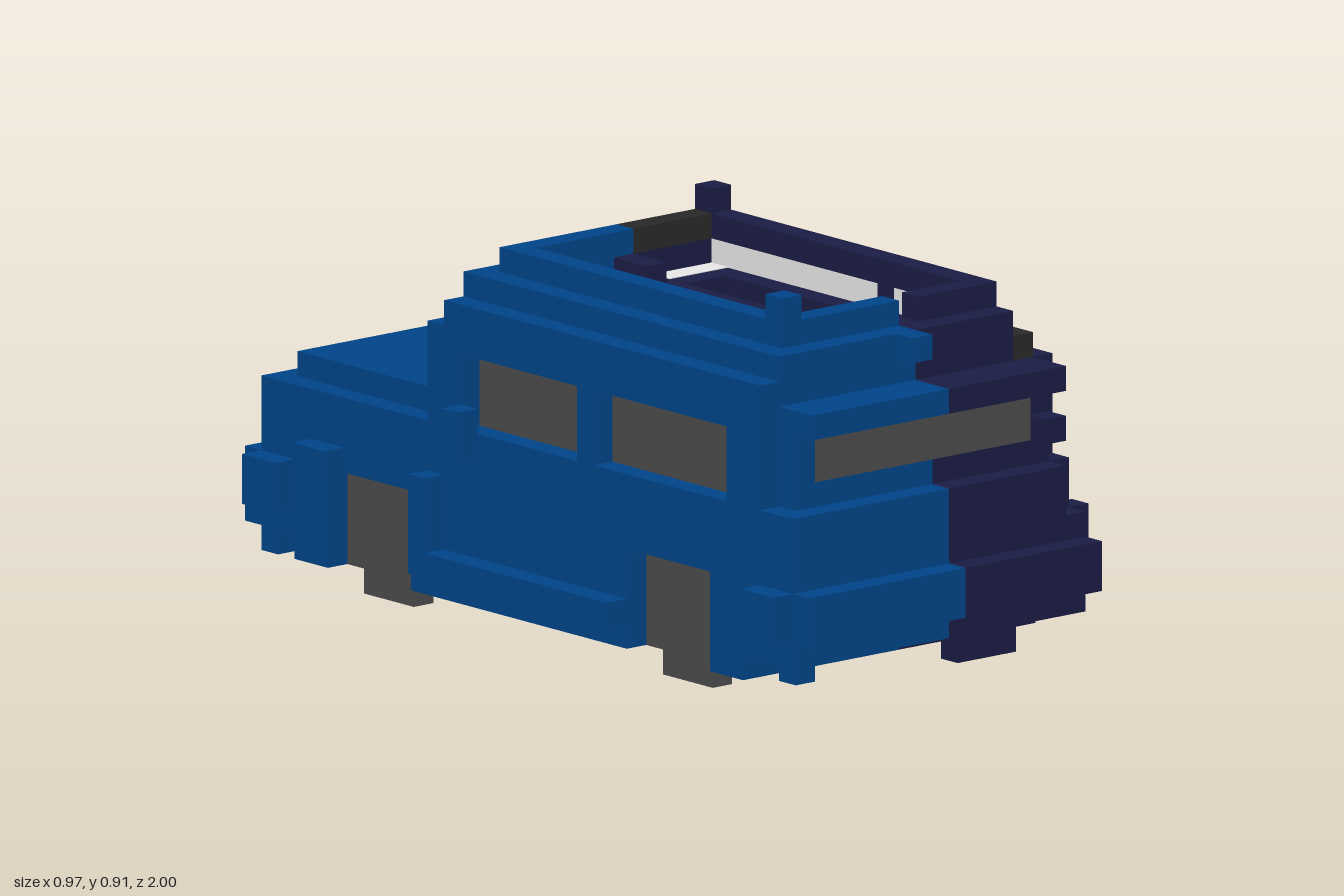
import * as THREE from 'three';

const U = 2 / 35; // one cell; cells run i: 0..17 (x), j: 0..16 (y), k: 0..35 (z)
const mat = (name, color) => {
  const m = new THREE.MeshStandardMaterial({ color });
  m.name = name;
  return m;
};

export function createModel() {
  const model = new THREE.Group();
  const blue = mat('blue', 0x004488), navy = mat('navy', 0x1b1c44);
  const glass = mat('glass grey', 0x4b4b4b), black = mat('charcoal', 0x282828);
  const light = mat('light grey', 0xe8e8e8);

  // Block between cell limits
  const box = (name, m, i0, i1, j0, j1, k0, k1) => {
    const mesh = new THREE.Mesh(new THREE.BoxGeometry((i1 - i0) * U, (j1 - j0) * U, (k1 - k0) * U), m);
    mesh.position.set(((i0 + i1) / 2 - 8.5) * U, (j0 + j1) / 2 * U, (k0 + k1) / 2 * U - 1);
    mesh.name = name;
    model.add(mesh);
  };
  // Block that changes colour at the centre line
  const split = (name, i0, i1, ...r) => {
    if (i0 < 9) box(name, blue, i0, Math.min(i1, 9), ...r);
    if (i1 > 9) box(name, navy, Math.max(i0, 9), i1, ...r);
  };
  const bothSides = (name, i0, i1, ...r) => {
    split(name, i0, i1, ...r);
    split(name, 17 - i1, 17 - i0, ...r);
  };

  // Lower body, cut for the wheel arches
  for (const [j0, j1, k0, k1] of [[1, 2, 4, 31], [2, 3, 1, 34], [3, 5, 1, 35]]) {
    split('lowerBody', 3, 14, j0, j1, k0, k1);
    for (const [a, b] of [[k0, 6], [11, 24], [29, k1]]) bothSides('lowerSide', 1, 3, j0, j1, a, b);
  }
  split('waist', 1, 16, 5, 6, 2, 34);
  split('waist', 1, 15, 6, 8, 2, 34);
  box('waistCorner', navy, 15, 16, 6, 8, 2, 33);
  split('hood', 2, 15, 8, 9, 3, 12);

  // Wheels
  for (const k of [6, 24]) {
    for (const i of [2, 14]) {
      box('wheel', glass, i, i + 1, 1, 5, k, k + 5);
      box('wheelFoot', glass, i, i + 1, 0, 1, k + 1, k + 4);
    }
  }

  // Cabin, with openings for the windshield and the side windows
  split('cabin', 2, 15, 8, 11, 13, 33);
  split('windshieldSill', 2, 15, 8, 9, 12, 13);
  bothSides('windshieldPillar', 2, 3, 9, 11, 12, 13);
  split('cabinTop', 2, 15, 11, 12, 12, 34);
  bothSides('sideRail', 1, 2, 11, 12, 12, 32);
  for (const [a, b] of [[12, 14], [21, 22], [30, 32]]) bothSides('sidePillar', 1, 2, 8, 11, a, b);

  // Windows
  const t = 0.03;
  for (const [k0, k1] of [[14, 21], [22, 30]]) {
    box('leftWindow', glass, 15, 15 + t, 8, 11, k0, k1);
    box('rightWindow', glass, 2 - t, 2, 8, 11, k0, k1);
  }
  box('rearWindow', glass, 3, 14, 9, 11, 33, 33 + t);
  box('windshield', glass, 3, 14, 9, 11, 13 - t, 13);

  // Roof floor with two sunken light panels
  for (const [a, b] of [[1, 5], [8, 10], [12, 14]]) split('roofFloor', a, b, 12, 13, 13, 32);
  for (const [a, b] of [[5, 8], [10, 12]]) {
    split('roofFloorFront', a, b, 12, 13, 13, 17);
    split('roofFloorRear', a, b, 12, 13, 29, 32);
    box('roofPanel', light, a, b, 12, 12 + t, 17, 29);
  }
  box('roofStrip', black, 14, 15, 12, 13, 13, 32);

  // Roof wall with a light lining
  box('roofWallRight', blue, 2, 3, 13, 14, 13, 32);
  split('roofWallFront', 3, 13, 13, 14, 13, 15);
  box('roofWallCorner', navy, 13, 14, 13, 14, 13, 14);
  split('roofWallRear', 3, 14, 13, 14, 31, 32);
  box('liningRight', light, 3, 4, 13, 14, 15, 31);
  box('liningLeft', light, 13, 14, 13, 14, 14, 25);
  box('liningLeft', light, 13, 14, 13, 14, 26, 31);
  box('roofClip', navy, 13, 15, 13, 14, 25, 26);
  box('liningRear', light, 4, 9, 13, 14, 30, 31);
  box('liningGap', navy, 9, 10, 13, 14, 30, 31);
  box('liningRear', light, 10, 13, 13, 14, 30, 31);
  for (const [a, b] of [[4, 8], [10, 13]]) box('frontPanel', light, a, b, 13, 13 + t, 15, 16);
  box('roofLatch', navy, 8, 9, 13, 14, 15, 17);

  // Roof rim and posts
  box('rimRight', blue, 3, 4, 14, 15, 14, 31);
  box('rimLeft', navy, 13, 14, 14, 15, 15, 31);
  box('rimFrontRight', blue, 4, 9, 14, 15, 14, 15);
  box('rimFrontLeft', black, 9, 14, 14, 15, 14, 15);
  box('rimRearRight', blue, 4, 9, 14, 15, 30, 31);
  box('rimRearLeft', navy, 10, 13, 14, 15, 30, 31);
  box('rearPost', blue, 3, 4, 15, 16, 30, 31);
  box('frontPost', navy, 13, 14, 15, 16, 14, 15);
  box('roofTab', blue, 15, 16, 12, 13, 23, 24);
  box('rearTab', blue, 8, 9, 13, 14, 32, 33);

  // Trim on the blue side
  for (const r of [[3, 5, 2, 4], [5, 6, 5, 7], [2, 6, 12, 13], [2, 3, 13, 24], [7, 9, 14, 15], [3, 5, 32, 34]])
    box('rightTrim', blue, 0, 1, ...r);

  // Trim on the navy side
  for (const r of [[3, 5, 2, 4], [5, 6, 5, 7], [7, 8, 8, 9], [2, 3, 11, 17], [3, 4, 13, 19], [5, 6, 10, 16],
    [6, 7, 12, 14], [7, 8, 13, 16], [8, 9, 14, 16], [10, 11, 13, 14], [2, 4, 20, 21], [3, 5, 31, 33], [4, 6, 32, 33]])
    box('leftTrim', navy, 16, 17, ...r);
  box('windowCorner', navy, 15, 16, 8, 9, 14, 16);
  box('windowCorner', navy, 15, 16, 9, 10, 14, 15);

  // Bumper and underbody blocks
  box('bumperPeg', navy, 13, 14, 4, 5, 0, 1);
  box('rearHinge', navy, 14, 15, 9, 10, 33, 34);
  box('underPeg', blue, 1, 2, 1, 2, 2, 3);
  box('underPeg', blue, 2, 3, 1, 2, 32, 33);
  box('underPeg', navy, 13, 15, 0, 1, 29, 31);
  box('underPeg', navy, 11, 12, 0, 1, 17, 18);
  box('underPeg', navy, 12, 13, 0, 1, 30, 31);

  return model;
}
